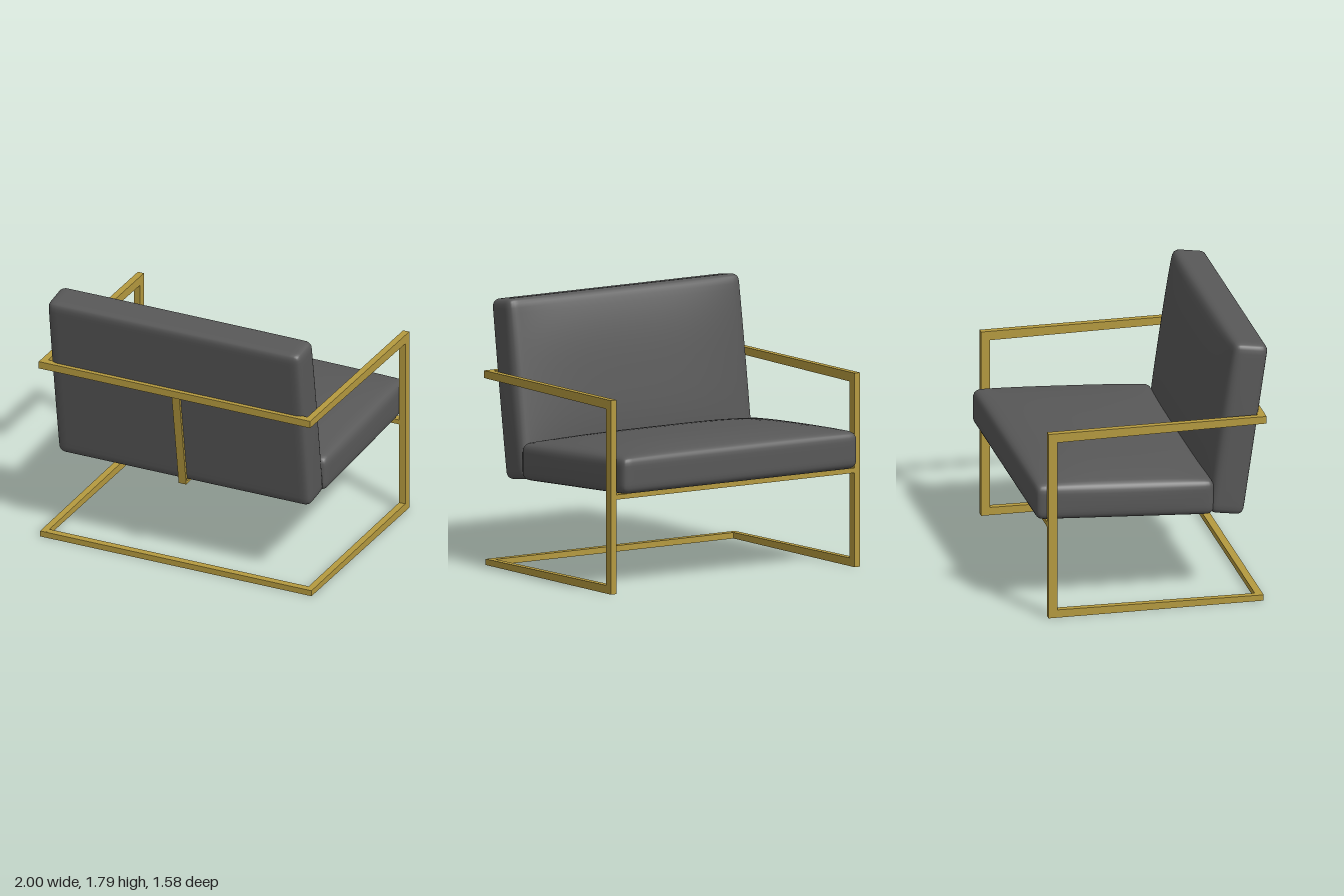
import * as THREE from 'three';
import { mergeVertices } from 'three/addons/utils/BufferGeometryUtils.js';

const fabric = new THREE.MeshStandardMaterial({ color: 0x585858 });
fabric.name = 'charcoalFabric';
const brass = new THREE.MeshStandardMaterial({ color: 0xb59a3f });
brass.name = 'brassMetal';

// Rounded cushion with a soft crown on its +y face
function cushionGeometry(w, h, d, radius, crown) {
  const geo = new THREE.BoxGeometry(2, 2, 2, 28, 14, 24);
  geo.deleteAttribute('uv');
  geo.deleteAttribute('normal');
  const half = new THREE.Vector3(w / 2, h / 2, d / 2);
  const inner = half.clone().subScalar(radius);
  const pos = geo.attributes.position;
  const p = new THREE.Vector3(), core = new THREE.Vector3();
  // crowd the grid lines towards the edges
  const ease = (u) => Math.sign(u) * (1 - (1 - Math.abs(u)) ** 2);
  for (let i = 0; i < pos.count; i++) {
    p.fromBufferAttribute(pos, i);
    p.set(ease(p.x), ease(p.y), ease(p.z)).multiply(half);
    core.copy(p).clamp(inner.clone().negate(), inner);
    p.sub(core);
    if (p.lengthSq() > 0) p.setLength(radius);
    p.add(core);
    const s = p.x / half.x, t = p.z / half.z, v = p.y / half.y;
    p.y += crown * Math.max(0, v) * (1 - s ** 4) * (1 - Math.abs(t) ** 3);
    p.x *= 1 + 0.008 * (1 - v * v) * (1 - t * t);
    pos.setXYZ(i, p.x, p.y, p.z);
  }
  const merged = mergeVertices(geo, 1e-5);
  merged.computeVertexNormals();
  return merged;
}

// Side profile given as [z, y] points, extruded across x from x0
function profileBar(name, points, x0, width) {
  const shape = new THREE.Shape(points.map(([z, y]) => new THREE.Vector2(-z, y)));
  const geo = new THREE.ExtrudeGeometry(shape, { depth: width, bevelEnabled: false });
  geo.rotateY(Math.PI / 2);
  geo.translate(x0, 0, 0);
  const mesh = new THREE.Mesh(geo, brass);
  mesh.name = name;
  return mesh;
}

function crossBar(name, z0, z1, y0, y1, width) {
  const mesh = new THREE.Mesh(new THREE.BoxGeometry(width, y1 - y0, z1 - z0), brass);
  mesh.position.set(0, (y0 + y1) / 2, (z0 + z1) / 2);
  mesh.name = name;
  return mesh;
}

export function createModel() {
  const chair = new THREE.Group();
  chair.name = 'armchair';

  // Seat cushion: sheared so its open end sits higher while its ends stay upright
  const seatGeo = cushionGeometry(1.89, 0.25, 1.215, 0.055, 0.058);
  seatGeo.applyMatrix4(new THREE.Matrix4().set(1, 0, 0, 0, 0, 1, -0.054, 0, 0, 0, 1, 0, 0, 0, 0, 1));
  seatGeo.computeVertexNormals();
  const seat = new THREE.Mesh(seatGeo, fabric);
  seat.name = 'seatCushion';
  seat.position.set(0, 0.7625, -0.183);
  chair.add(seat);

  // Back cushion: crown turned towards the sitter, leaning back
  const backGeo = cushionGeometry(1.86, 0.235, 1.2, 0.05, 0.055);
  backGeo.rotateX(-Math.PI / 2 + 0.145);
  const back = new THREE.Mesh(backGeo, fabric);
  back.name = 'backCushion';
  back.position.set(0, 1.19, 0.594);
  chair.add(back);

  // C-shaped side frames: armrest, leg and floor rail in one piece
  const side = [
    [0.76, 1.3], [-0.72, 1.3], [-0.72, 0], [0.74, 0], [0.74, 0.04],
    [-0.66, 0.055], [-0.66, 1.237], [0.76, 1.25],
  ];
  chair.add(profileBar('leftSideFrame', side, 0.955, 0.045));
  chair.add(profileBar('rightSideFrame', side, -1, 0.045));

  // Bars joining the two sides
  chair.add(crossBar('backRail', 0.71, 0.76, 1.25, 1.3, 1.91));
  chair.add(crossBar('floorRail', 0.69, 0.74, 0, 0.04, 1.91));
  chair.add(crossBar('seatRail', -0.72, -0.66, 0.632, 0.664, 1.91));

  // Bent strap running down the back and under the seat
  const strap = [
    [0.745, 1.25], [0.64, 0.565], [-0.7, 0.637],
    [-0.7, 0.657], [0.625, 0.585], [0.727, 1.25],
  ];
  chair.add(profileBar('centreStrap', strap, -0.028, 0.056));

  return chair;
}
